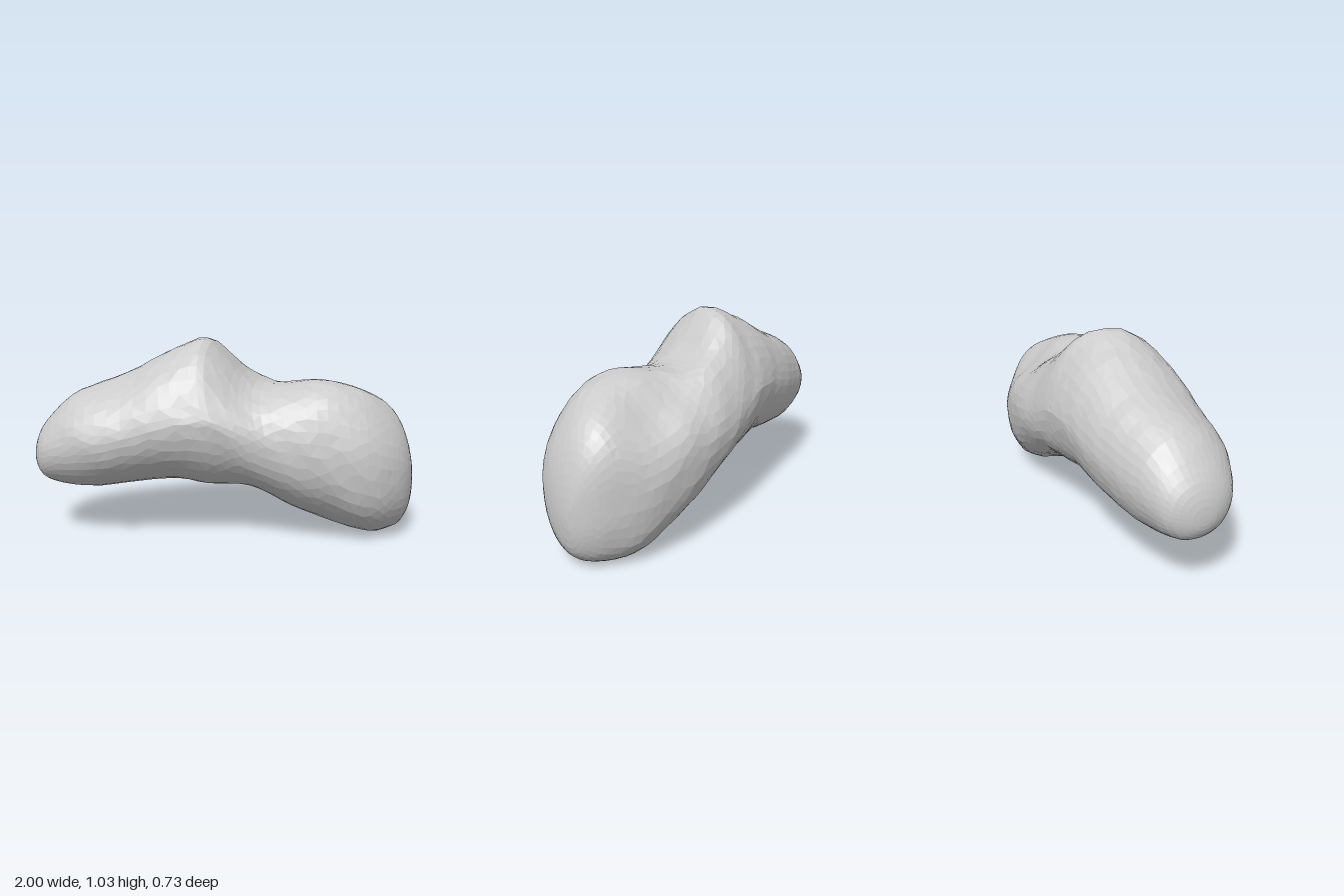
import * as THREE from 'three';

// Cross-sections along the body: x, bottom, top, back, front
const SECTIONS = [
  [-1.0, 0.42, 0.42, 0, 0],
  [-0.985, 0.35, 0.52, -0.09, 0.09],
  [-0.93, 0.295, 0.615, -0.17, 0.18],
  [-0.8, 0.265, 0.74, -0.225, 0.26],
  [-0.65, 0.255, 0.80, -0.265, 0.31],
  [-0.45, 0.28, 0.88, -0.305, 0.335],
  [-0.25, 0.295, 0.985, -0.33, 0.35],
  [-0.1, 0.27, 1.03, -0.345, 0.35],
  [0.0, 0.265, 0.955, -0.355, 0.345],
  [0.1, 0.26, 0.85, -0.36, 0.34],
  [0.2, 0.225, 0.80, -0.365, 0.34],
  [0.35, 0.15, 0.81, -0.36, 0.35],
  [0.5, 0.08, 0.83, -0.345, 0.355],
  [0.65, 0.02, 0.795, -0.305, 0.36],
  [0.76, 0.0, 0.745, -0.255, 0.335],
  [0.86, 0.015, 0.68, -0.19, 0.275],
  [0.93, 0.05, 0.585, -0.13, 0.20],
  [0.98, 0.13, 0.44, -0.06, 0.10],
  [1.0, 0.28, 0.28, 0, 0],
];
const STEPS = 3, AROUND = 36;

// Mirror a section through the tip so the ends close roundly
const flip = ([x, b, t, k, f]) => [x, t, b, f, k];
const N = SECTIONS.length;
const ROWS = [flip(SECTIONS[1]), ...SECTIONS, flip(SECTIONS[N - 2])];

// Smooth section at fraction f between sections i and i + 1
function sectionAt(i, f) {
  const [p, q, r, s] = ROWS.slice(i, i + 4);
  return q.map((v, c) => v + 0.5 * f * (r[c] - p[c]
    + f * (2 * p[c] - 5 * v + 4 * r[c] - s[c] + f * (3 * (v - r[c]) + s[c] - p[c]))));
}

const bump = (x, centre, width) => Math.exp(-(((x - centre) / width) ** 2));
const power = (v, e) => Math.sign(v) * Math.abs(v) ** e;

// Uneven surface
const rough = (x, y, z) => 0.006 * (Math.sin(17 * x + 9 * y + 5 * z)
  + Math.sin(13 * z - 15 * y + 7 * x) + 0.8 * Math.sin(37 * x + 31 * y - 29 * z));

function surfacePoint([x, bottom, top, back, front], angle) {
  const c = Math.cos(angle), s = Math.sin(angle);
  const up = Math.max(0, s), down = Math.max(0, -s);
  const small = bump(x, -0.5, 0.35), large = bump(x, 0.65, 0.3);
  const hy = (top - bottom) / 2, hz = (front - back) / 2;
  // Hump narrows to a peak, small lobe is a soft wedge, large lobe is full below
  const e = s > 0
    ? 0.95 + 0.22 * small + 0.6 * bump(x, -0.11, 0.2) + 0.08 * large
    : 0.95 + 0.12 * small - 0.13 * large;
  let y = (top + bottom) / 2 + hy * power(s, e);
  let z = (front + back) / 2 + hz * power(c, 0.95);
  // Saddle runs diagonally across the top
  const px = x - 0.3 * z * bump(x, 0, 0.35) * up;
  // Crest leans back on the small lobe, swings front to back on the large one
  z += up * up * (0.06 * bump(x, 0.5, 0.2) - 0.05 * bump(x, 0.88, 0.12));
  z -= 0.04 * s * s * small + 0.05 * down * down * bump(x, 0.72, 0.2);
  // Hollow behind the large lobe's crest, fuller saddle on the back
  y -= 0.09 * up * bump(z, -0.2, 0.13) * bump(x, 0.56, 0.2);
  y += 0.06 * up * bump(z, -0.22, 0.11) * bump(x, 0.15, 0.13);
  const k = 1 + rough(px, y, z) * Math.min(1, hz * 8);
  return [px, Math.max(0, (y - 0.45) * k + 0.45), z * k];
}

export function createModel() {
  const group = new THREE.Group();
  group.name = 'asteroid';
  const rings = [];
  for (let i = 0; i < N - 1; i++) {
    for (let j = i === 0 ? 1 : 0; j < STEPS; j++) rings.push(sectionAt(i, j / STEPS));
  }

  // Staggered, jittered rings give irregular facets; a point closes each tip
  const pos = [];
  rings.forEach((section, r) => {
    for (let a = 0; a < AROUND; a++) {
      const jitter = 0.25 * Math.sin(a * 12.9 + r * 78.2);
      const angle = (a + (r % 2) * 0.5 + jitter) / AROUND * Math.PI * 2;
      pos.push(...surfacePoint(section, angle));
    }
  });
  const R = rings.length, tipA = R * AROUND, tipB = tipA + 1;
  pos.push(-1, 0.42, 0, 1, 0.28, 0);

  const index = [];
  for (let a = 0; a < AROUND; a++) {
    const b = (a + 1) % AROUND, last = (R - 1) * AROUND;
    index.push(tipA, a, b, tipB, last + b, last + a);
    for (let r = 0; r < R - 1; r++) {
      const p = r * AROUND, q = p + AROUND;
      if (r % 2) index.push(p + a, q + a, q + b, p + a, q + b, p + b);
      else index.push(p + a, q + a, p + b, p + b, q + a, q + b);
    }
  }
  const geometry = new THREE.BufferGeometry();
  geometry.setAttribute('position', new THREE.Float32BufferAttribute(pos, 3));
  geometry.setIndex(index);
  geometry.computeVertexNormals();

  const body = new THREE.Mesh(geometry,
    new THREE.MeshStandardMaterial({ color: 0xcccccc, flatShading: true }));
  body.name = 'rockBody';
  group.add(body);
  return group;
}
